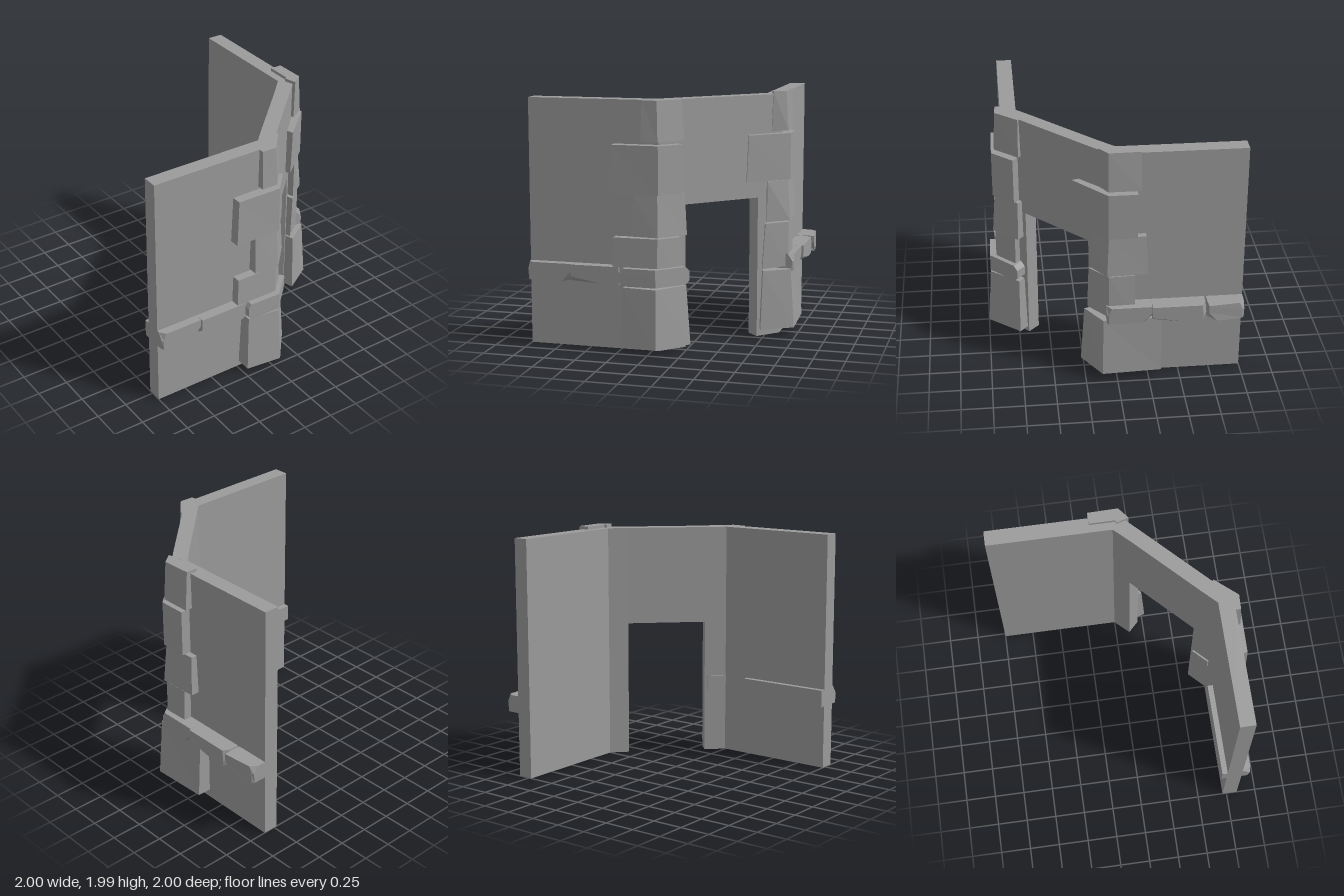
import * as THREE from 'three';

const material = new THREE.MeshStandardMaterial({ color: 0x9b9b9b, flatShading: true });

// Solid lofted through levels [y, plan outline]; outlines are [x, z] points.
function loft(name, levels) {
  const plan = levels[0][1].map(([x, z]) => new THREE.Vector2(x, z));
  const flip = THREE.ShapeUtils.isClockWise(plan);
  if (flip) plan.reverse();
  const rings = levels.map(([y, pts]) => {
    const ring = pts.map(([x, z]) => [x, y, z]);
    return flip ? ring.reverse() : ring;
  });
  const pos = [];
  const tri = (a, b, c) => pos.push(...a, ...b, ...c);
  const n = plan.length;
  for (let k = 0; k + 1 < rings.length; k++) {
    const lo = rings[k], hi = rings[k + 1];
    for (let i = 0; i < n; i++) {
      const j = (i + 1) % n;
      tri(lo[i], hi[i], hi[j]);
      tri(lo[i], hi[j], lo[j]);
    }
  }
  const top = rings[rings.length - 1];
  for (const [a, b, c] of THREE.ShapeUtils.triangulateShape(plan, [])) {
    tri(rings[0][a], rings[0][b], rings[0][c]);
    tri(top[a], top[c], top[b]);
  }
  const geo = new THREE.BufferGeometry();
  geo.setAttribute('position', new THREE.Float32BufferAttribute(pos, 3));
  geo.computeVertexNormals();
  const mesh = new THREE.Mesh(geo, material);
  mesh.name = name;
  return mesh;
}

const prism = (name, y0, y1, pts) => loft(name, [[y0, pts], [y1, pts]]);
const swap = (pts) => pts.map(([a, b]) => [b, a]);

// Outline of a stone wrapping a corner: wall end, corner, doorway end.
// du, dw: how far the doorway end reaches back into the wall.
const wrap = ([a, c, e], du, dw) => [
  a, c, e,
  [e[0] - du, e[1] - dw],
  [0.03, 0.79],
  [a[0], 0.79],
];
const wrapLeft = (pts) => wrap(pts, 0.07, 0.065);
const wrapRight = (pts) => swap(wrap(pts, 0.1, 0.03));

// Corner stones: bottom y, top y, bottom points, top points.
// Coordinates run along the wall, then outward from it.
const leftStones = [
  [0.045, 0.515, [[-0.23, 0.965], [0.07, 1.0], [0.28, 0.745]], [[-0.21, 0.94], [0.06, 0.97], [0.245, 0.74]]],
  [0.54, 0.9, [[-0.305, 0.92], [0.06, 0.92], [0.21, 0.77]], [[-0.295, 0.91], [0.06, 0.91], [0.205, 0.76]]],
  [0.915, 1.24, [[-0.14, 0.92], [0.07, 0.935], [0.25, 0.74]], [[-0.135, 0.9], [0.06, 0.91], [0.23, 0.73]]],
  [1.24, 1.62, [[-0.32, 0.925], [0.07, 0.925], [0.22, 0.76]], [[-0.305, 0.92], [0.07, 0.925], [0.22, 0.76]]],
  [1.645, 1.96, [[-0.075, 0.9], [0.06, 0.9], [0.22, 0.715]], [[-0.07, 0.88], [0.05, 0.885], [0.2, 0.71]]],
];
const rightStones = [
  [0.07, 0.55, [[-0.35, 0.965], [0.12, 0.985], [0.275, 0.74]], [[-0.35, 0.94], [0.11, 0.95], [0.245, 0.75]]],
  [0.565, 0.93, [[-0.14, 0.92], [0.065, 0.925], [0.22, 0.74]], [[-0.14, 0.91], [0.065, 0.92], [0.21, 0.76]]],
  [0.945, 1.27, [[-0.24, 0.92], [0.08, 0.935], [0.2, 0.77]], [[-0.225, 0.9], [0.065, 0.91], [0.2, 0.77]]],
  [1.275, 1.65, [[-0.155, 0.93], [0.07, 0.93], [0.33, 0.63]], [[-0.155, 0.93], [0.07, 0.93], [0.325, 0.645]]],
  [1.67, 1.985, [[-0.185, 0.91], [0.07, 0.91], [0.14, 0.79]], [[-0.18, 0.885], [0.065, 0.89], [0.135, 0.8]]],
];

// Two ledge stones in (along, outward) coordinates; back = hidden face depth.
function ledgePair(back, out) {
  const stoneA = (l, lw, r) =>
    [[-1, back], [-1, lw], [l, out], [r, out], [-0.64, out - 0.08], [-0.64, back]];
  const stoneB = (w, r) =>
    [[-0.64, back], [-0.64, w], [-0.39, out + 0.015], [r - 0.03, out + 0.015], [r, out - 0.04], [-0.22, back]];
  return [
    [[0.53, stoneA(-0.985, out - 0.02, -0.72)], [0.61, stoneA(-0.985, out - 0.01, -0.645)],
      [0.67, stoneA(-0.96, out - 0.05, -0.645)]],
    [[0.53, stoneB(out - 0.045, -0.22)], [0.575, stoneB(out + 0.015, -0.21)],
      [0.67, stoneB(out + 0.015, -0.22)]],
  ];
}

export function createModel() {
  const model = new THREE.Group();
  model.name = 'cornerWallWithDoorway';

  // Wall: two bent piers joined by a lintel over the doorway
  model.add(
    prism('leftWall', 0, 1.96, [[-1, 0.84], [0.05, 0.84], [0.22, 0.67], [0.135, 0.585], [0.005, 0.715], [-1, 0.715]]),
    prism('rightWall', 0, 1.96, [[0.85, -1], [0.85, 0.05], [0.695, 0.205], [0.61, 0.12], [0.725, 0], [0.725, -1]]),
    prism('lintel', 1.14, 1.96, [[0.22, 0.67], [0.695, 0.205], [0.61, 0.12], [0.135, 0.585]]),
  );

  // Stacked corner stones
  for (const [y0, y1, lo, hi] of leftStones)
    model.add(loft('leftCornerStone', [[y0, wrapLeft(lo)], [y1, wrapLeft(hi)]]));
  for (const [y0, y1, lo, hi] of rightStones)
    model.add(loft('rightCornerStone', [[y0, wrapRight(lo)], [y1, wrapRight(hi)]]));

  // Ledge on the left wall, passing through to the back
  for (const levels of ledgePair(0.67, 0.91)) model.add(loft('leftLedgeStone', levels));

  // Ledge stone wrapping the left corner, with chamfered ends
  const cornerLedge = (d) => wrapLeft([[-0.23 + d, 0.965], [0.06, 0.97], [0.275 - d, 0.755 + d]]);
  model.add(loft('cornerLedgeStone', [
    [0.53, cornerLedge(0.025)], [0.56, cornerLedge(0)], [0.635, cornerLedge(0)], [0.67, cornerLedge(0.025)],
  ]));
  model.add(prism('cornerLedgeBack', 0.535, 0.665, [[-0.005, 0.705], [0.11, 0.59], [0.18, 0.66], [0.065, 0.775]]));

  // Ledge on the right wall: the same pair turned round, then an end stone
  for (const levels of ledgePair(0.79, 0.97))
    model.add(loft('rightLedgeStone', levels.map(([y, pts]) => [y, pts.map(([u, w]) => [w, -u - 0.915])])));
  const endStone = (start, far, w) => [[0.79, -0.71], [0.92, -0.71], [1, start], [0.975, far], [w, -1], [0.79, -1]];
  model.add(loft('rightLedgeEnd', [
    [0.53, endStone(-0.78, -0.985, 0.955)],
    [0.61, endStone(-0.715, -0.985, 0.965)],
    [0.67, endStone(-0.715, -0.96, 0.92)],
  ]));

  return model;
}
